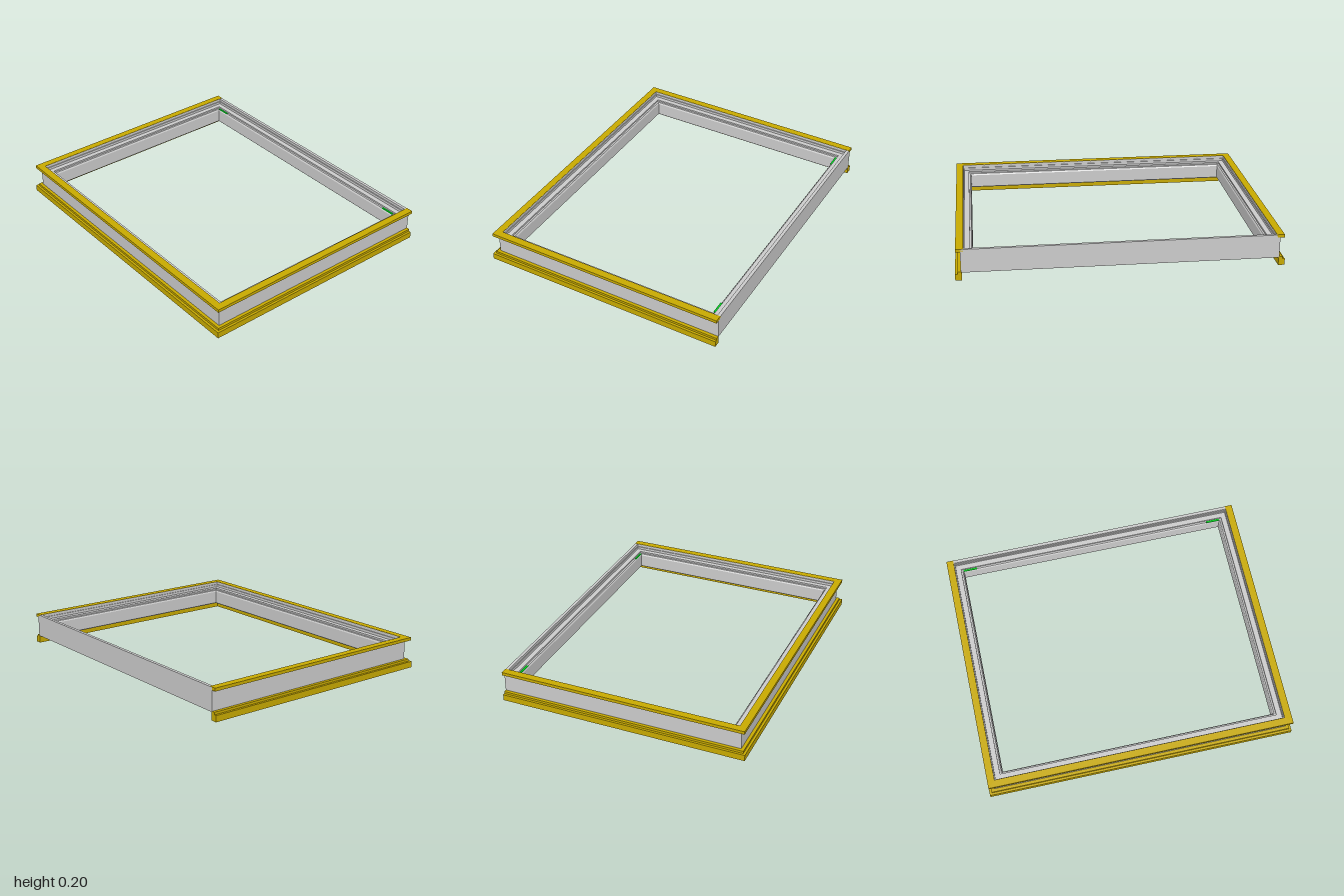
import * as THREE from 'three';

const grey = new THREE.MeshStandardMaterial({ color: 0xcccccc, flatShading: true });
const yellow = new THREE.MeshStandardMaterial({ color: 0xc8aa00, flatShading: true });
const green = new THREE.MeshStandardMaterial({ color: 0x00d020 });

const WALL = 0.035; // distance from the outermost edge to the outer wall

function add(group, name, geometry, material) {
  const mesh = new THREE.Mesh(geometry, material);
  mesh.name = name;
  group.add(mesh);
  return mesh;
}

// Mitred rectangular frame swept from a closed profile of [inset, height] points
function mitredFrame(profile) {
  const pos = [];
  const point = (corner, [d, y]) => {
    const sx = corner < 2 ? 1 : -1;
    const front = corner === 0 || corner === 3;
    return [sx * (1 - d), y, front ? 0.8 - d : -0.8 + d - WALL];
  };
  for (let c = 0; c < 4; c++) {
    const n = (c + 1) % 4;
    profile.forEach((p, i) => {
      const q = profile[(i + 1) % profile.length];
      const a = point(c, p), b = point(n, p), e = point(n, q), f = point(c, q);
      pos.push(...a, ...b, ...e, ...a, ...e, ...f);
    });
  }
  const g = new THREE.BufferGeometry();
  g.setAttribute('position', new THREE.Float32BufferAttribute(pos, 3));
  g.computeVertexNormals();
  return g;
}

// Three-sided strip (both sides and front), open at the back
function threeSidedStrip(d0, d1, y0, y1) {
  const xo = 1 - d0, xi = 1 - d1, zo = 0.8 - d0, zi = 0.8 - d1, zb = -0.8;
  const shape = new THREE.Shape([
    [-xo, zb], [-xo, zo], [xo, zo], [xo, zb], [xi, zb], [xi, zi], [-xi, zi], [-xi, zb],
  ].map(([x, z]) => new THREE.Vector2(x, -z)));
  const g = new THREE.ExtrudeGeometry(shape, { depth: y1 - y0, bevelEnabled: false });
  g.rotateX(-Math.PI / 2);
  g.translate(0, y0, 0);
  return g;
}

export function createModel() {
  const model = new THREE.Group();
  model.name = 'rectangularFrame';

  // Grey body: outer wall, raised rim, recessed ledge and inner lip
  add(model, 'frameBody', mitredFrame([
    [WALL, 0.05], [WALL, 0.198], [0.055, 0.198], [0.055, 0.18], [0.061, 0.18],
    [0.061, 0.163], [0.094, 0.163], [0.094, 0.152], [0.104, 0.15],
    [0.11, 0.14], [0.11, 0.055], [0.105, 0.05],
  ]), grey);

  // Yellow seals on the front and both sides
  add(model, 'topSeal', threeSidedStrip(0.008, 0.054, 0.18, 0.2), yellow);
  add(model, 'bottomSeal', threeSidedStrip(0, 0.04, 0, 0.04), yellow);
  add(model, 'bottomSealStep', threeSidedStrip(0.015, 0.04, 0.04, 0.055), yellow);

  // Small green strips in the back corners of the lip
  for (const s of [-1, 1]) {
    const strip = add(model, 'cornerStrip', new THREE.BoxGeometry(0.09, 0.006, 0.012), green);
    strip.position.set(s * 0.845, 0.152, -0.732);
  }
  return model;
}
